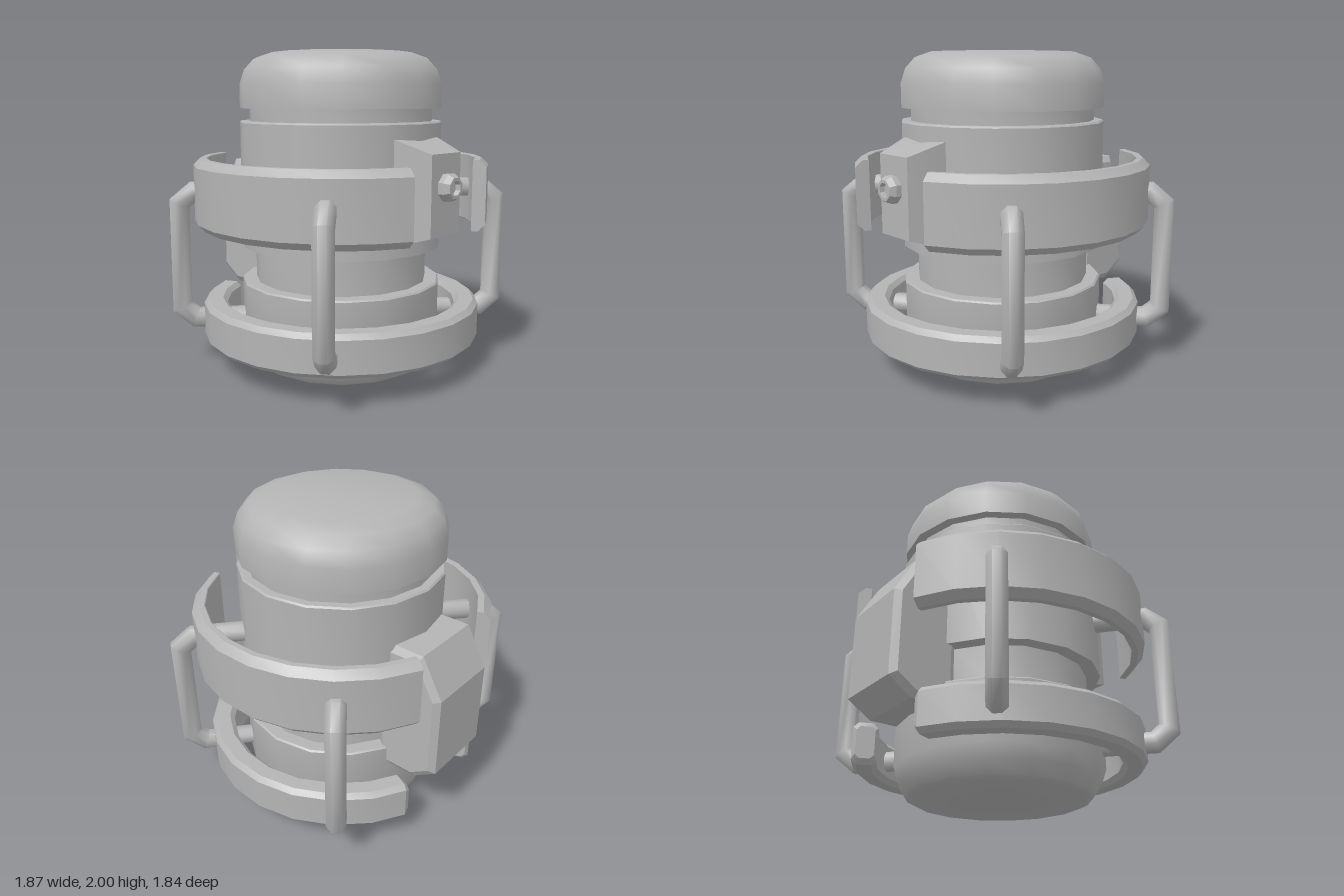
import * as THREE from 'three';
import { toCreasedNormals } from 'three/addons/utils/BufferGeometryUtils.js';

const V = (x, y, z) => new THREE.Vector3(x, y, z);
const CZ = 0.015; // the round parts share an axis slightly forward of centre

// Skins a row of equal-sized loops and closes both ends with fans
function loft(loops) {
  const n = loops[0].length, last = loops.length - 1;
  const points = loops.flat(), index = [];
  for (let i = 0; i < last; i++) {
    for (let j = 0; j < n; j++) {
      const k = (j + 1) % n;
      const a = i * n + j, b = i * n + k, c = b + n, d = a + n;
      index.push(a, b, c, a, c, d);
    }
  }
  for (const i of [0, last]) {
    const mid = loops[i].reduce((s, p) => s.add(p), V(0, 0, 0)).divideScalar(n);
    const m = points.push(mid) - 1;
    for (let j = 0; j < n; j++) {
      const a = i * n + j, b = i * n + (j + 1) % n;
      if (i === 0) index.push(m, b, a);
      else index.push(m, a, b);
    }
  }
  const geo = new THREE.BufferGeometry().setFromPoints(points);
  geo.setIndex(index);
  return geo;
}

// Rectangular band section with chamfered corners, as [radius, height]
function bandSection(r0, r1, y0, y1, outer, inner) {
  return [
    [r0 + inner, y0], [r1 - outer, y0], [r1, y0 + outer], [r1, y1 - outer],
    [r1 - outer, y1], [r0 + inner, y1], [r0, y1 - inner], [r0, y0 + inner],
  ];
}

// Sweeps a section round the y axis between two angles (degrees from +z)
function arcBand(section, from, to, steps, endScale) {
  const cr = section.reduce((s, p) => s + p[0], 0) / section.length;
  const cy = section.reduce((s, p) => s + p[1], 0) / section.length;
  const slices = [];
  for (let i = 0; i <= steps; i++) slices.push([to + (from - to) * i / steps, 1]);
  if (endScale < 1) {
    slices[0][0] -= 2;
    slices[steps][0] += 2;
    slices.unshift([to, endScale]);
    slices.push([from, endScale]);
  }
  return loft(slices.map(([deg, s]) => {
    const a = THREE.MathUtils.degToRad(deg);
    return section.map(([r, y]) => {
      const rr = cr + (r - cr) * s;
      return V(rr * Math.sin(a), cy + (y - cy) * s, rr * Math.cos(a));
    });
  }));
}

// Round bar following a path in the xy plane, mitred at the bends
function bar(path, radius, sides) {
  const pts = path.map(([x, y]) => V(x, y, 0));
  return loft(pts.map((p, i) => {
    const before = pts[i].clone().sub(pts[Math.max(i - 1, 0)]).normalize();
    const after = pts[Math.min(i + 1, pts.length - 1)].clone().sub(p).normalize();
    const t = before.clone().add(after).normalize();
    const mitre = 1 / Math.max(t.dot(before), t.dot(after));
    const n = V(-t.y, t.x, 0);
    return Array.from({ length: sides }, (_, j) => {
      const a = (j + 0.5) / sides * Math.PI * 2;
      return p.clone().addScaledVector(n, Math.cos(a) * radius * mitre)
        .add(V(0, 0, Math.sin(a) * radius));
    });
  }));
}

export function createModel() {
  const model = new THREE.Group();
  const grey = new THREE.MeshStandardMaterial({ color: 0xb4b4b4 });
  grey.name = 'plain grey';

  function add(name, geo, z = 0, crease = 0.6) {
    const mesh = new THREE.Mesh(toCreasedNormals(geo, crease), grey);
    mesh.name = name;
    mesh.position.z = z;
    model.add(mesh);
    return mesh;
  }
  const lathe = (profile, sides) =>
    new THREE.LatheGeometry(profile.map(([r, y]) => new THREE.Vector2(r, y)), sides);

  // Canister: rounded base, two grooves and a domed cap
  add('canister', lathe([
    [0, 0], [0.53, 0], [0.57, 0.02], [0.62, 0.1], [0.65, 0.18],
    [0.65, 0.55], [0.64, 0.56], [0.56, 0.56], [0.56, 0.79], [0.65, 0.79],
    [0.65, 1.57], [0.64, 1.58], [0.59, 1.58], [0.59, 1.66], [0.65, 1.66],
  ], 16), CZ);
  add('cap', lathe([
    [0.58, 1.66], [0.65, 1.66], [0.65, 1.81], [0.62, 1.9], [0.56, 1.965], [0.46, 2], [0, 2],
  ], 16), CZ);

  // Upper guard: two wide bands, open at the front and back
  const upper = bandSection(0.86, 0.945, 0.91, 1.35, 0.045, 0.005);
  add('upperGuardLeft', arcBand(upper, 22, 158, 9, 1), CZ);
  add('upperGuardRight', arcBand(upper, 202, 338, 9, 1), CZ);

  // Lower guard: one band, open at the back with rounded ends
  const lower = bandSection(0.75, 0.9, 0.18, 0.44, 0.03, 0.03);
  add('lowerGuard', arcBand(lower, -158, 158, 20, 0.75), CZ);

  // Four bent bars tie the guards to the canister
  const path = [[0.58, 1.135], [0.95, 1.135], [1.04, 1.06], [1.04, 0.38], [0.95, 0.305], [0.58, 0.305]];
  for (const sx of [1, -1]) {
    for (const sz of [1, -1]) {
      const name = (sz > 0 ? 'front' : 'back') + (sx > 0 ? 'Left' : 'Right') + 'Bar';
      add(name, bar(path, 0.064, 8), CZ, 0.9).rotation.y = Math.atan2(-sz * 0.645, sx * 0.815);
    }
  }

  // Front control block, tapering forwards
  const rect = (x, y0, y1, z) => [V(-x, y0, z), V(x, y0, z), V(x, y1, z), V(-x, y1, z)];
  add('controlBlock', loft([
    rect(0.21, 0.86, 1.49, 0.55), rect(0.205, 0.865, 1.485, 0.63), rect(0.14, 0.93, 1.41, 0.845),
  ]), 0, 0.3);

  // Button with a recessed centre
  const button = lathe([
    [0.085, 0], [0.085, 0.04], [0.065, 0.075], [0.045, 0.075], [0.04, 0.045], [0, 0.045],
  ], 8);
  button.rotateY(Math.PI / 8).rotateX(Math.PI / 2);
  add('button', button, 0.84, 0.3).position.y = 1.215;

  // Back pack: chamfered side profile, as [distance behind centre, height]
  const outline = [[0.5, 0.42], [0.77, 0.42], [0.92, 0.52], [0.92, 1.05], [0.78, 1.3], [0.5, 1.3]];
  const pack = new THREE.ExtrudeGeometry(
    new THREE.Shape(outline.map(([d, y]) => new THREE.Vector2(d, y))),
    { depth: 0.47, bevelEnabled: true, bevelSegments: 1, bevelSize: 0.04, bevelThickness: 0.03, bevelOffset: -0.04 },
  );
  pack.translate(0, 0, -0.235).rotateY(Math.PI / 2);
  add('backPack', pack, 0, 0.3);

  return model;
}
